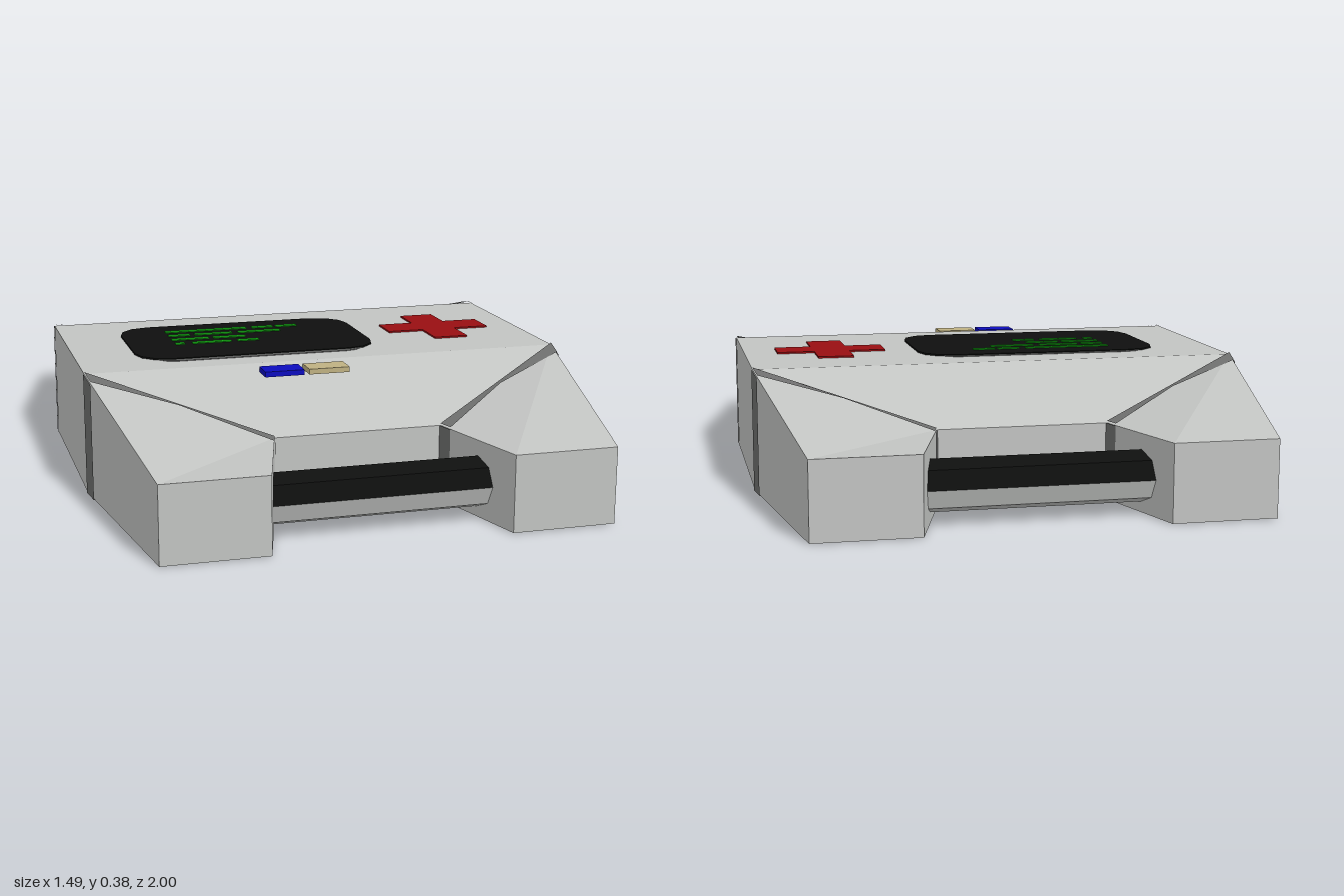
import * as THREE from 'three';

const mat = (name, color, side = THREE.FrontSide) => {
  const m = new THREE.MeshStandardMaterial({ color, side });
  m.name = name;
  return m;
};

export function createModel() {
  const group = new THREE.Group();
  const grey = mat('casing grey', 0xc2c4c2);
  const dark = mat('band grey', 0x6e6f6e, THREE.DoubleSide);
  const black = mat('black', 0x0e0f0e);
  const red = mat('red', 0x980f12);
  const blue = mat('blue', 0x0c0cbe);
  const tan = mat('tan', 0xbfb182);
  const green = mat('green', 0x13ae13);

  const add = (name, geometry, material, y = 0) => {
    const mesh = new THREE.Mesh(geometry, material);
    mesh.name = name;
    mesh.position.y = y;
    group.add(mesh);
    return mesh;
  };
  const facets = (points) => {
    const g = new THREE.BufferGeometry().setFromPoints(points);
    g.computeVertexNormals();
    return g;
  };

  // Outline of the top rim: front half, then the back half turned round
  const HIGH = 0.365, LOW = 0.225;
  const half = (s, shoulder, notch) => [
    [0.74, HIGH, shoulder], [0.65, LOW, 1], [0.345, LOW, 1], [0.25, LOW, notch],
    [-0.25, LOW, notch], [-0.345, LOW, 1], [-0.65, LOW, 1], [-0.74, HIGH, shoulder],
  ].map(([x, y, z]) => new THREE.Vector3(x * s, y, z * s));
  const rim = [...half(1, 0.33, 0.66), ...half(-1, 0.365, 0.68)];
  const floor = rim.map((p) => new THREE.Vector3(p.x, 0, p.z));

  // Casing: faceted top, flat underside and upright walls
  const halfTris = [[0, 1, 2], [0, 2, 3], [4, 5, 6], [4, 6, 7], [0, 3, 4], [0, 4, 7]];
  const tris = [...halfTris, ...halfTris.map((t) => t.map((i) => i + 8)), [0, 7, 8], [0, 8, 15]];
  const casing = [];
  for (const [a, b, c] of tris) {
    casing.push(rim[c], rim[b], rim[a], floor[a], floor[b], floor[c]);
  }
  rim.forEach((p, i) => {
    const j = (i + 1) % rim.length;
    casing.push(floor[i], p, rim[j], floor[i], rim[j], floor[j]);
  });
  add('casing', facets(casing), grey);

  // Dark bands wrapping each arm where it joins the casing
  for (const [a, d, c, b] of [[0, 1, 2, 3], [7, 6, 5, 4], [8, 9, 10, 11], [15, 14, 13, 12]]) {
    const points = [];
    const upright = (from, to, t, dx) => {
      const p = rim[from].clone(), q = rim[from].clone().lerp(rim[to], t);
      p.x += dx; q.x += dx;
      const p0 = p.clone().setY(0), q0 = q.clone().setY(0);
      points.push(p0, p, q, p0, q, q0);
    };
    const side = Math.sign(rim[a].x);
    upright(a, d, 0.11, side * 0.003);
    upright(b, c, 0.15, -side * 0.003);
    for (const [ring, lift] of [[rim, 0.006], [floor, -0.002]]) {
      const up = (p) => p.clone().setY(p.y + lift);
      const A = up(ring[a]), B = up(ring[b]);
      const A1 = up(ring[a].clone().lerp(ring[d], 0.1));
      const B1 = up(ring[b].clone().lerp(ring[c], 0.14));
      const M = A.clone().lerp(B, 0.5);
      const M1 = M.clone();
      M1.z += Math.sign(M.z) * 0.02;
      points.push(A, A1, M1, A, M1, M, M, M1, B1, M, B1, B);
    }
    add('armBand', facets(points), dark);
  }

  // Carrying bars: eight-sided, front half grey and rear half black
  for (const z of [0.835, -0.85]) {
    for (const [name, start, material] of [['barFront', 0, grey], ['barRear', Math.PI, black]]) {
      // Half cylinder turned to lie along x
      const g = new THREE.CylinderGeometry(0.07, 0.07, 0.9, 4, 1, true, start - Math.PI / 2, Math.PI)
        .toNonIndexed();
      g.rotateZ(Math.PI / 2);
      g.rotateX(Math.PI / 2);
      // Keep the half that faces the intended way
      g.computeBoundingBox();
      const facing = g.boundingBox.max.z > 0.035 ? 1 : -1;
      if (facing !== (name === 'barFront' ? 1 : -1)) g.rotateY(Math.PI);
      g.computeVertexNormals();
      const bar = add(name, g, material, 0.105);
      bar.scale.y = 1.07;
      bar.position.z = z;
    }
  }

  // Flat plates cut from an outline of [x, z] points
  const plate = (name, pts, material, top, depth = 0.005) => {
    const shape = new THREE.Shape(pts.map(([x, z]) => new THREE.Vector2(x, z)));
    const g = new THREE.ExtrudeGeometry(shape, { depth, bevelEnabled: false });
    add(name, g.rotateX(Math.PI / 2), material, top);
  };
  // Rectangle with rounded corners made of short straight cuts
  const rounded = (x0, x1, z0, z1, r) => {
    const pts = [];
    [[x1 - r, z1 - r], [x0 + r, z1 - r], [x0 + r, z0 + r], [x1 - r, z0 + r]].forEach(([x, z], k) => {
      for (let i = 0; i <= 3; i++) {
        const a = (k + i / 3) * Math.PI / 2;
        pts.push([x + r * Math.cos(a), z + r * Math.sin(a)]);
      }
    });
    return pts;
  };
  const rect = (x0, x1, z0, z1) => [[x0, z0], [x1, z0], [x1, z1], [x0, z1]];

  // Screen and cross show on both the top and the underside
  const screen = rounded(-0.555, 0.205, -0.235, 0.225, 0.1);
  const cross = [
    [0.415, -0.19], [0.525, -0.19], [0.525, -0.075], [0.64, -0.075], [0.64, 0.035], [0.525, 0.035],
    [0.525, 0.155], [0.415, 0.155], [0.415, 0.035], [0.3, 0.035], [0.3, -0.075], [0.415, -0.075],
  ];
  plate('screenFrame', rounded(-0.51, 0.16, -0.25, 0.245, 0.07), dark, HIGH + 0.002);
  plate('screen', screen, black, HIGH + 0.005);
  plate('cross', cross, red, HIGH + 0.005);
  plate('screenUnderside', screen, black, 0.001, 0.003);
  plate('crossUnderside', cross, red, 0.001, 0.003);

  // Readout dashes: row z, then start and end of each dash
  const rows = [
    [-0.14, [-0.41, -0.14], [-0.12, -0.05], [-0.04, 0.03]],
    [-0.082, [-0.41, -0.34], [-0.325, -0.2], [-0.18, -0.04]],
    [-0.024, [-0.41, -0.29], [-0.275, -0.17]],
    [0.035, [-0.41, -0.38], [-0.355, -0.23], [-0.21, -0.14]],
  ];
  for (const [z, ...dashes] of rows) {
    for (const [x0, x1] of dashes) {
      plate('readoutDash', rect(x0, x1, z - 0.011, z + 0.011), green, HIGH + 0.008, 0.004);
    }
  }

  // Two buttons at the front edge
  plate('blueButton', rect(-0.22, -0.1, 0.365, 0.44), blue, HIGH - 0.002, 0.016);
  plate('tanButton', rect(-0.085, 0.04, 0.365, 0.44), tan, HIGH - 0.002, 0.016);

  return group;
}
